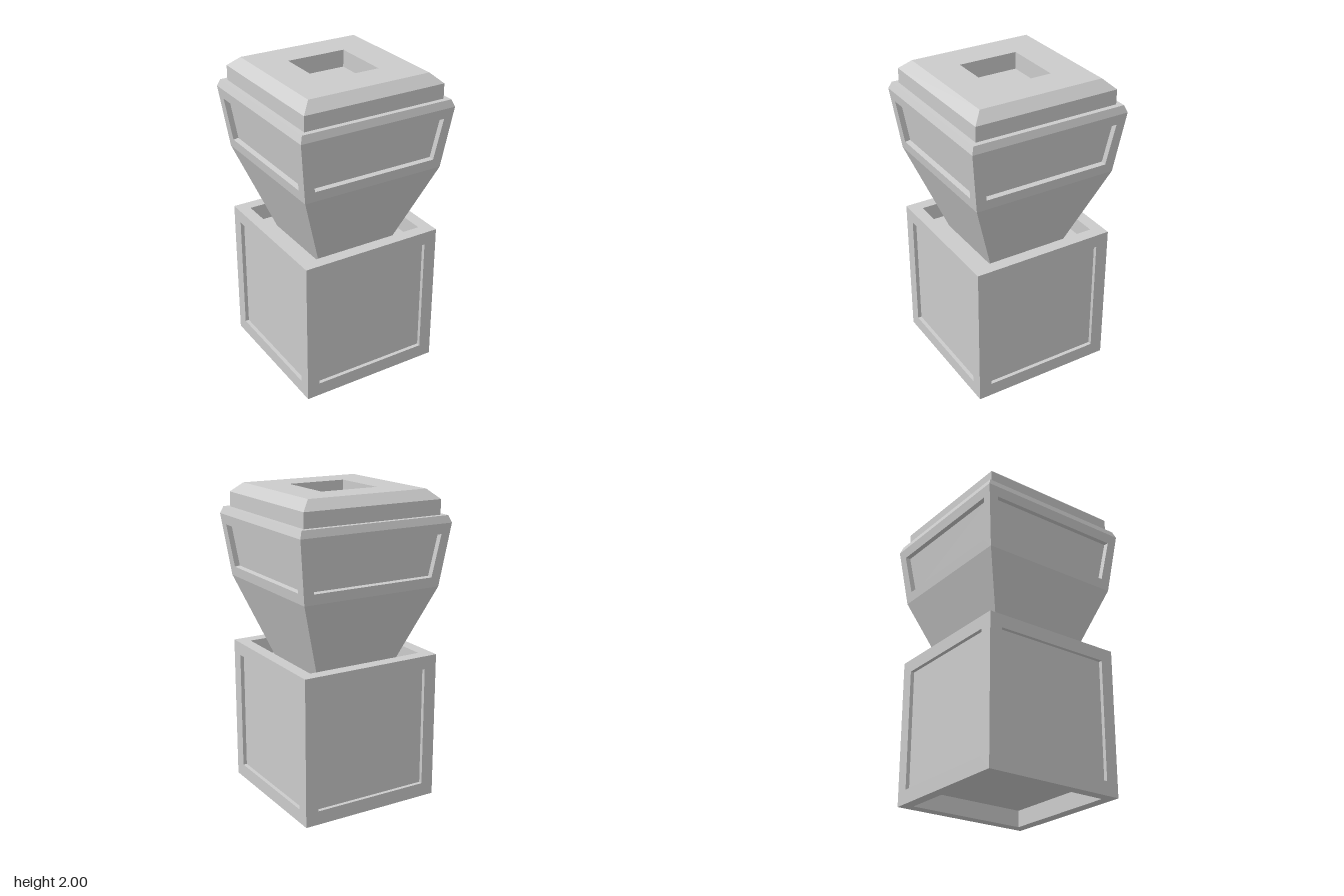
import * as THREE from 'three';

const material = new THREE.MeshStandardMaterial({ color: 0xcccccc, flatShading: true });

// Skins a series of four-cornered rings (anticlockwise from outside), optionally closing the last.
function loft(rings, capped) {
  const points = [];
  const quad = (a, b, c, d) => points.push(...a, ...b, ...c, ...a, ...c, ...d);
  for (let r = 0; r < rings.length - 1; r++) {
    for (let i = 0; i < 4; i++) {
      const j = (i + 1) % 4;
      quad(rings[r][i], rings[r][j], rings[r + 1][j], rings[r + 1][i]);
    }
  }
  if (capped) quad(...rings[rings.length - 1]);
  const geometry = new THREE.BufferGeometry();
  geometry.setAttribute('position', new THREE.Float32BufferAttribute(points, 3));
  geometry.computeVertexNormals();
  return geometry;
}

// Horizontal square ring of half-width h at height y.
const square = (h, y) => [[-h, y, h], [h, y, h], [h, y, -h], [-h, y, -h]];

// Front-facing trapezium: y0/y1 heights, w0/w1 half-widths, z0/z1 depths.
const trapezium = (y0, w0, z0, y1, w1, z1) => [[-w0, y0, z0], [w0, y0, z0], [w1, y1, z1], [-w1, y1, z1]];
const shift = (ring, dy, dz) => ring.map(([x, y, z]) => [x, y + dy, z + dz]);

function addMesh(group, name, geometry) {
  const mesh = new THREE.Mesh(geometry, material);
  mesh.name = name;
  group.add(mesh);
  return mesh;
}

// Repeats a front face around all four sides.
function addFourSides(group, name, geometry) {
  ['Front', 'Left', 'Back', 'Right'].forEach((side, i) => {
    addMesh(group, name + side, geometry).rotation.y = (i * Math.PI) / 2;
  });
}

export function createModel() {
  const model = new THREE.Group();
  model.name = 'pedestalBlock';

  // Cube base: framed recess on each side, deeper wells above and below
  const base = new THREE.Group();
  base.name = 'base';
  const half = 0.475, top = 0.96;
  const opening = trapezium(0.09, 0.39, half, 0.875, 0.39, half);
  addFourSides(base, 'basePanel', loft([
    trapezium(0, half, half, top, half, half), opening, shift(opening, 0, -0.025),
  ], true));
  addMesh(base, 'baseTopWell', loft([square(half, top), square(0.395, top), square(0.395, 0.85)], true));
  addMesh(base, 'baseBottomWell', loft([
    square(half, 0), square(0.405, 0), square(0.405, 0.11),
  ].map((ring) => ring.reverse()), true));
  model.add(base);

  // Head: tapered neck rising out of the well
  const head = new THREE.Group();
  head.name = 'head';
  addMesh(head, 'neck', loft([square(0.268, 0.85), square(half, 1.4)], false));

  // Outward-leaning band with a recessed panel per side
  const lean = (y) => half + (y - 1.4) * 0.125;
  const window = trapezium(1.465, 0.415, lean(1.465), 1.735, 0.455, lean(1.735));
  addFourSides(head, 'headPanel', loft([
    trapezium(1.4, half, half, 1.8, 0.525, 0.525), window, shift(window, 0.004, -0.035),
  ], true));

  // Stepped, bevelled cap with a square socket
  addMesh(head, 'cap', loft([
    square(0.525, 1.8), square(0.508, 1.845), square(0.475, 1.845), square(0.475, 1.94),
    square(0.41, 2), square(0.196, 2), square(0.196, 1.89),
  ], true));
  model.add(head);

  return model;
}
